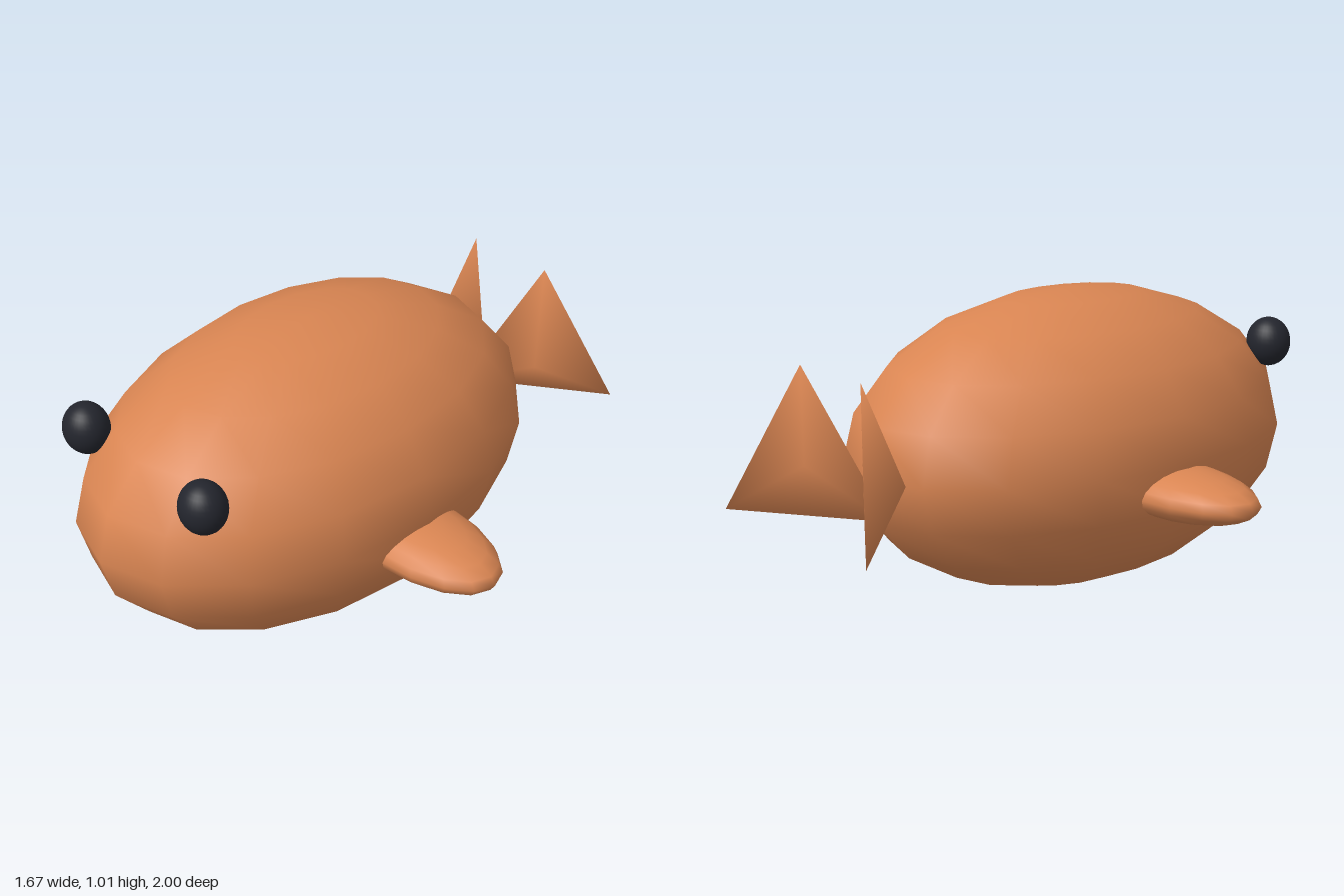
import * as THREE from 'three';
import { mergeVertices } from 'three/addons/utils/BufferGeometryUtils.js';

const skin = new THREE.MeshStandardMaterial({ color: 0xd98552 });
const dark = new THREE.MeshStandardMaterial({ color: 0x23252d });

function ellipsoid(name, material, radii, position, segments = [16, 10]) {
  const mesh = new THREE.Mesh(new THREE.SphereGeometry(1, ...segments), material);
  mesh.name = name;
  mesh.scale.set(...radii);
  mesh.position.set(...position);
  return mesh;
}

// Shallow three-sided cone lying on its side, welded for soft shading
function tailGeometry() {
  let g = new THREE.ConeGeometry(0.315, 0.125, 3, 1, false, Math.PI);
  g.translate(0, 0.0625, 0);
  g.rotateX(Math.PI / 2);
  g.scale(1, 1.027, 1);
  g.deleteAttribute('uv');
  g.deleteAttribute('normal');
  g = mergeVertices(g);
  g.computeVertexNormals();
  return g;
}

export function createModel() {
  const model = new THREE.Group();
  model.name = 'fish';

  model.add(ellipsoid('body', skin, [0.555, 0.505, 0.865], [0, 0.507, 0.135]));

  const tail = tailGeometry();
  for (const [side, s] of [['left', 1], ['right', -1]]) {
    model.add(ellipsoid(side + 'Eye', dark, [0.079, 0.086, 0.074], [s * 0.28, 0.775, 0.813], [32, 16]));
    model.add(ellipsoid(side + 'Fin', skin, [0.333, 0.085, 0.172], [s * 0.5, 0.415, 0.135]));

    // Tail lobe, fanning out backwards with its peak facing outwards
    const lobe = new THREE.Mesh(tail, skin);
    lobe.name = side + 'TailLobe';
    lobe.position.set(s * 0.16, 0.537, -0.845);
    lobe.rotation.y = s * 0.603;
    model.add(lobe);
  }
  return model;
}
